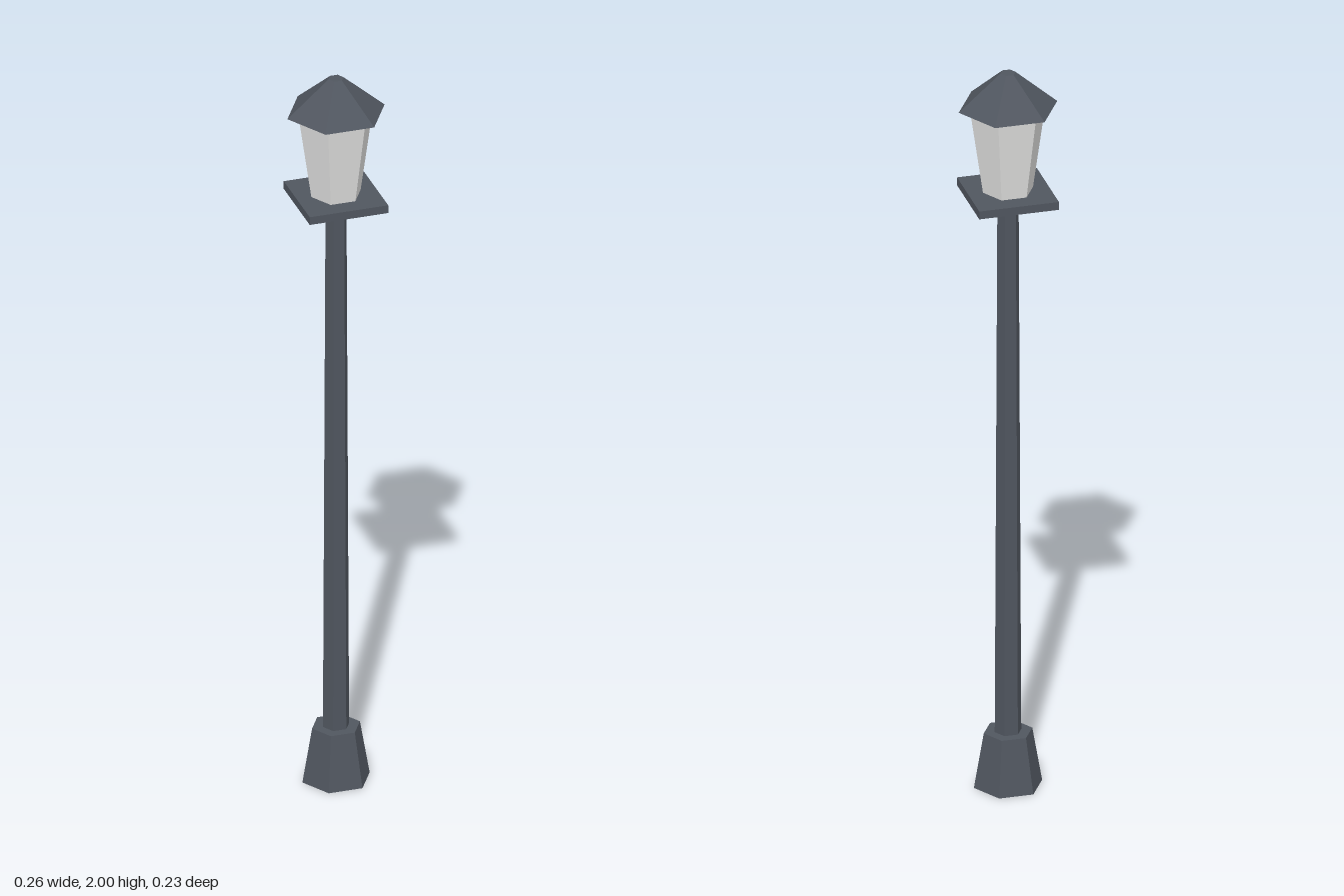
import * as THREE from 'three';

export function createModel() {
  const group = new THREE.Group();
  const metal = new THREE.MeshStandardMaterial({ color: 0x50565f, flatShading: true });
  metal.name = 'slateMetal';
  const glass = new THREE.MeshStandardMaterial({ color: 0xe0e0df, flatShading: true });
  glass.name = 'paleGlass';

  // Tapered six-sided section with corners on the x axis
  function hexSection(name, material, y0, y1, r0, r1) {
    const geometry = new THREE.CylinderGeometry(r1, r0, y1 - y0, 6);
    geometry.rotateY(Math.PI / 6);
    geometry.translate(0, (y0 + y1) / 2, 0);
    const mesh = new THREE.Mesh(geometry, material);
    mesh.name = name;
    group.add(mesh);
  }

  hexSection('base', metal, 0, 0.15, 0.09, 0.064);
  hexSection('pole', metal, 0.15, 1.65, 0.035, 0.028);

  // Square plate under the lantern
  const plate = new THREE.Mesh(new THREE.BoxGeometry(0.21, 0.022, 0.21), metal);
  plate.name = 'lanternPlate';
  plate.position.y = 1.66;
  group.add(plate);

  hexSection('lanternGlass', glass, 1.671, 1.905, 0.066, 0.1);
  hexSection('roof', metal, 1.904, 2, 0.13, 0.02);

  return group;
}
